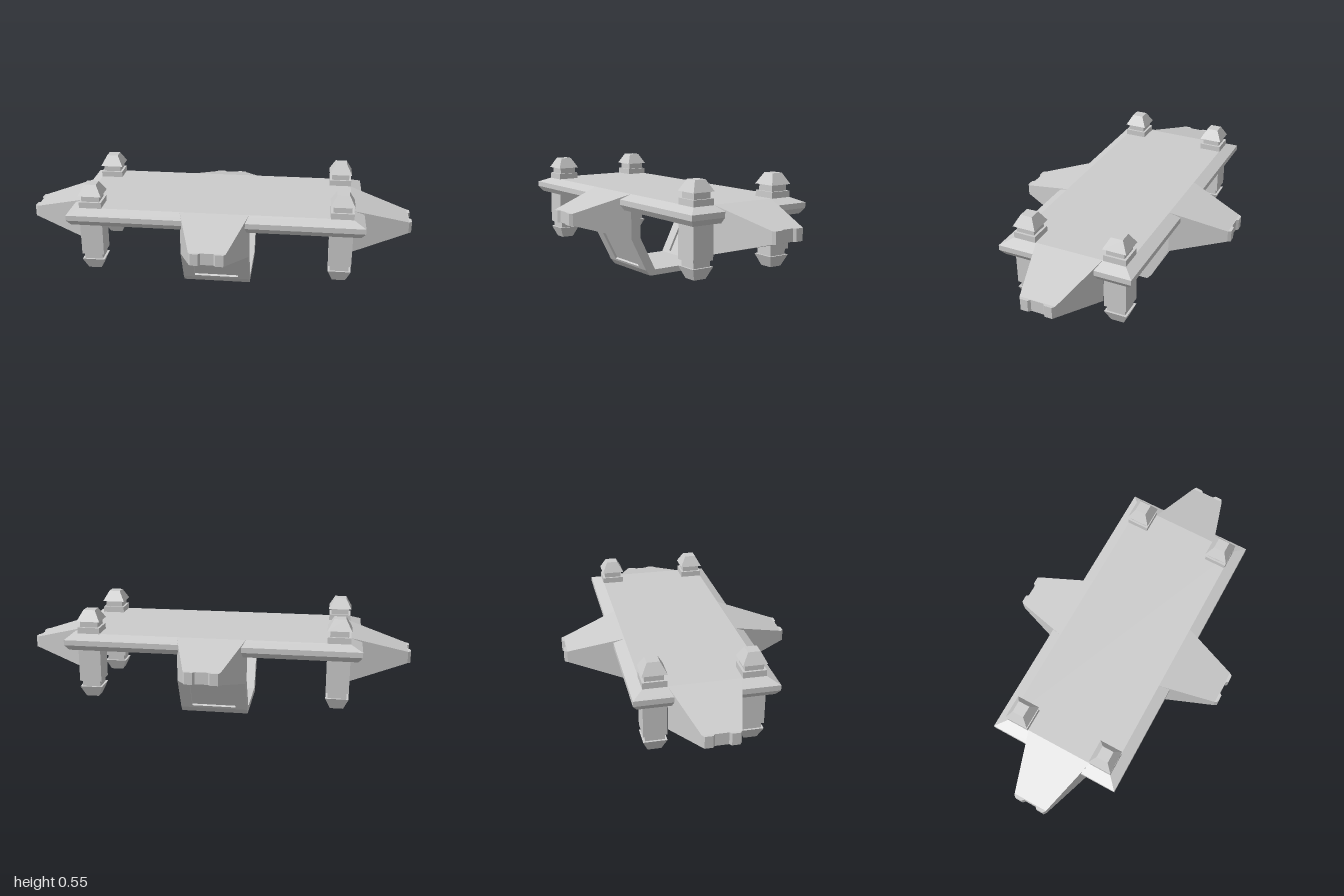
import * as THREE from 'three';

const material = new THREE.MeshStandardMaterial({ color: 0xcccccc, flatShading: true });

function addMesh(parent, name, geometry) {
  const mesh = new THREE.Mesh(geometry, material);
  mesh.name = name;
  parent.add(mesh);
  return mesh;
}

// Stack of rectangles along y, each layer [y, halfX, halfZ], capped at both ends
function loft(layers) {
  const points = [], index = [];
  for (const [y, hx, hz] of layers)
    points.push(-hx, y, -hz, -hx, y, hz, hx, y, hz, hx, y, -hz);
  for (let k = 0; k < layers.length - 1; k++)
    for (let i = 0; i < 4; i++) {
      const a = k * 4 + i, b = k * 4 + (i + 1) % 4;
      index.push(a, b, b + 4, a, b + 4, a + 4);
    }
  const t = (layers.length - 1) * 4;
  index.push(0, 2, 1, 0, 3, 2, t, t + 1, t + 2, t, t + 2, t + 3);
  const indexed = new THREE.BufferGeometry();
  indexed.setAttribute('position', new THREE.Float32BufferAttribute(points, 3));
  indexed.setIndex(index);
  const geometry = indexed.toNonIndexed();
  geometry.computeVertexNormals();
  return geometry;
}

// Closed outline from one half, mirrored across the first coordinate
function mirroredShape(half) {
  const other = half.map(([a, b]) => [-a, b]).reverse();
  return new THREE.Shape([...half, ...other].map(([a, b]) => new THREE.Vector2(a, b)));
}

function extrude(half, depth) {
  const geometry = new THREE.ExtrudeGeometry(mirroredShape(half), { depth, bevelEnabled: false });
  return geometry.translate(0, 0, -depth / 2);
}

// Tapered wing pointing along +z with a notched blunt tip
function createWing(root, end) {
  const wing = new THREE.Group();
  const neck = end - 0.015;
  addMesh(wing, 'wingBody', loft([[root, 0.175, 0.115], [neck, 0.09, 0.03]]).rotateX(Math.PI / 2));
  const tip = [[0.09, neck - 0.005], [0.09, neck], [0.08, end], [0.042, end], [0.032, neck + 0.003]];
  addMesh(wing, 'wingTip', extrude(tip, 0.06).rotateX(Math.PI / 2));
  wing.position.y = 0.32;
  return wing;
}

// Point on the sloping hanger wall: t runs up the wall, inset moves perpendicular to it
function wallPoint(z, t, inset) {
  return [z + 0.09 * t - 0.889 * inset, 0.03 + 0.175 * t + 0.457 * inset];
}

export function createModel() {
  const model = new THREE.Group();
  model.name = 'platform';

  // Deck with bevelled rim
  addMesh(model, 'deck', loft([
    [0.355, 0.73, 0.325], [0.383, 0.75, 0.345], [0.41, 0.75, 0.345], [0.435, 0.69, 0.29],
  ]));

  // Four wings, long axis and short axis
  ['frontWing', 'leftWing', 'backWing', 'rightWing'].forEach((name, i) => {
    const wing = i % 2 ? createWing(0.69, 1.0) : createWing(0.29, 0.59);
    wing.name = name;
    wing.rotation.y = i * Math.PI / 2;
    model.add(wing);
  });

  // Four corner posts with stepped caps above and below the deck
  const square = (rows) => loft(rows.map(([y, h]) => [y, h, h]));
  const post = square([
    [0.09, 0.033], [0.148, 0.058], [0.148, 0.047], [0.178, 0.047], [0.178, 0.0575], [0.37, 0.0575],
  ]);
  const cap = square([
    [0.42, 0.0575], [0.465, 0.0575], [0.465, 0.046], [0.497, 0.046], [0.497, 0.06], [0.552, 0.03],
  ]);
  for (const x of [-0.635, 0.635])
    for (const z of [-0.235, 0.235]) {
      const corner = new THREE.Group();
      corner.name = 'cornerPost';
      corner.position.set(x, 0, z);
      addMesh(corner, 'lowerPost', post);
      addMesh(corner, 'upperCap', cap);
      model.add(corner);
    }

  // Open hanger band below the deck: full-thickness edges, recessed middle
  const hanger = new THREE.Group();
  hanger.name = 'hanger';
  const foot = [[0.175, 0], [0.2, 0.03]];
  const top = [[0.29, 0.205], [0.29, 0.365], [0.235, 0.365], [0.235, 0.205]];
  const recess = 0.012;
  const edge = [...foot, ...top, [0.145, 0.03]];
  const middle = [
    ...foot,
    wallPoint(0.2, 0.07, 0), wallPoint(0.2, 0.07, recess),
    wallPoint(0.2, 0.93, recess), wallPoint(0.2, 0.93, 0),
    ...top,
    wallPoint(0.145, 0.93, 0), wallPoint(0.145, 0.93, -recess),
    wallPoint(0.145, 0.07, -recess), wallPoint(0.145, 0.07, 0),
    [0.145, 0.03],
  ];
  for (const side of [-1, 1])
    addMesh(hanger, 'hangerEdge', extrude(edge, 0.06).rotateY(Math.PI / 2)).position.x = side * 0.145;
  addMesh(hanger, 'hangerPanel', extrude(middle, 0.23).rotateY(Math.PI / 2));
  model.add(hanger);

  return model;
}
